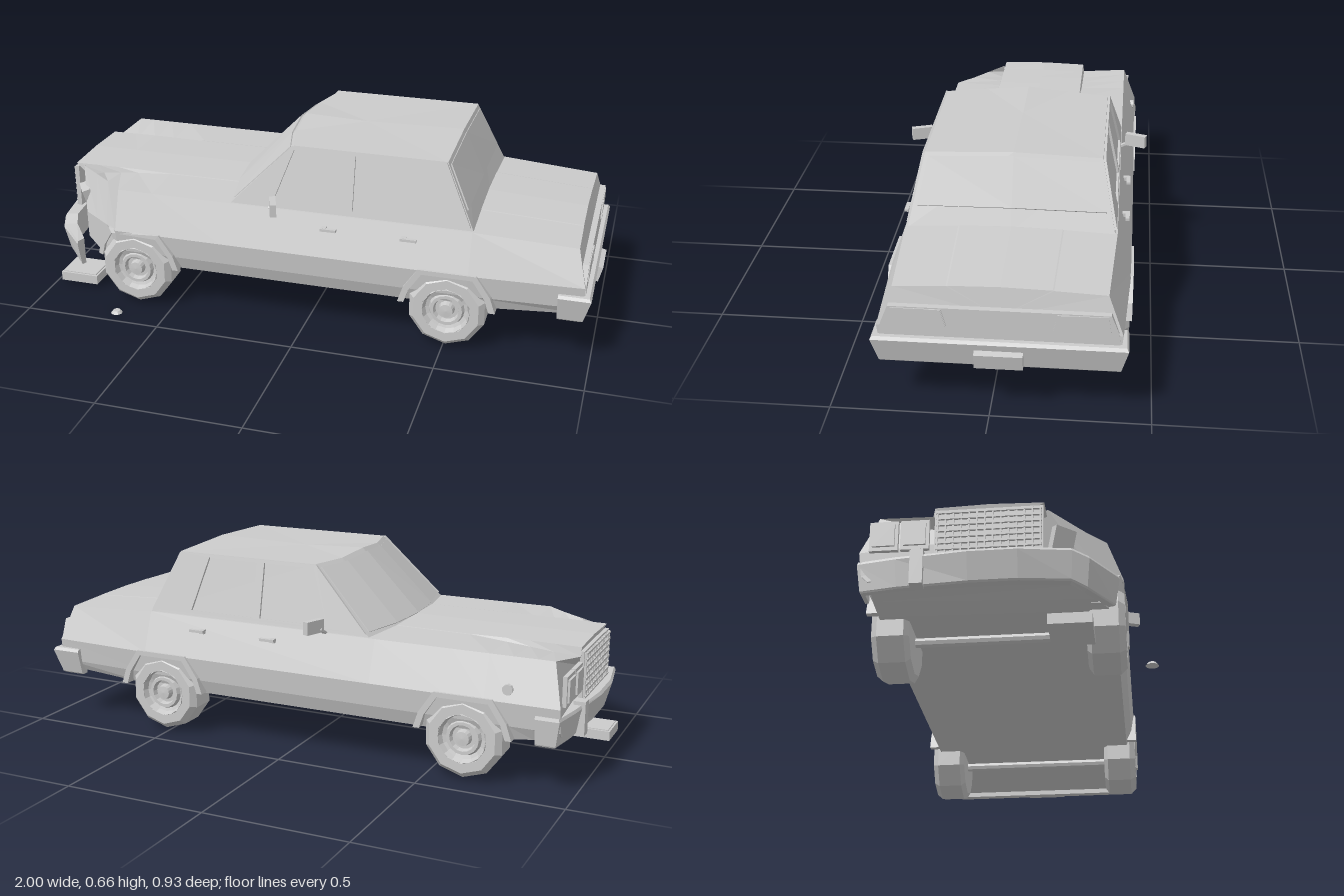
import * as THREE from 'three';

const mat = new THREE.MeshStandardMaterial({ color: 0xcccccc, flatShading: true });
const lerp = THREE.MathUtils.lerp;

// Skin over rings of [x, y, z] points, capped at both ends
function loft(rings) {
  const pos = [];
  const tri = (a, b, c) => pos.push(...a, ...b, ...c);
  const n = rings[0].length;
  for (let i = 0; i < rings.length - 1; i++) {
    for (let j = 0; j < n; j++) {
      const k = (j + 1) % n;
      const a = rings[i][j], b = rings[i][k], c = rings[i + 1][j], d = rings[i + 1][k];
      tri(a, b, d);
      tri(a, d, c);
    }
  }
  const cap = (ring, flip) => {
    const c = [0, 1, 2].map((q) => ring.reduce((s, p) => s + p[q], 0) / n);
    ring.forEach((p, j) => {
      const r = ring[(j + 1) % n];
      flip ? tri(c, r, p) : tri(c, p, r);
    });
  };
  cap(rings[0], true);
  cap(rings[rings.length - 1], false);
  const g = new THREE.BufferGeometry();
  g.setAttribute('position', new THREE.Float32BufferAttribute(pos, 3));
  g.computeVertexNormals();
  return g;
}

function add(parent, name, geo, x = 0, y = 0, z = 0) {
  const m = new THREE.Mesh(geo, mat);
  m.name = name;
  m.position.set(x, y, z);
  parent.add(m);
  return m;
}
const box = (w, h, d) => new THREE.BoxGeometry(w, h, d);
const poly = (pts, C = THREE.Shape) => new C(pts.map((p) => new THREE.Vector2(...p)));
const slab = (shape, depth) => new THREE.ExtrudeGeometry(shape, { depth, bevelEnabled: false });

// Lower body: sections along the car, front corner on +z crushed inward
function bodyGeometry() {
  // x, sill y, shoulder y, hood edge foot y, hood edge y, centre y, width
  const stations = [
    [-0.95, 0.19, 0.43, 0.405, 0.435, 0.44, 1], [-0.86, 0.17, 0.43, 0.41, 0.436, 0.44, 1],
    [-0.78, 0.16, 0.43, 0.418, 0.437, 0.44, 1], [-0.70, 0.16, 0.43, 0.425, 0.437, 0.44, 1],
    [-0.57, 0.16, 0.43, 0.435, 0.436, 0.44, 1], [-0.30, 0.16, 0.43, 0.436, 0.437, 0.442, 1],
    [0.58, 0.16, 0.43, 0.436, 0.437, 0.44, 1], [0.965, 0.18, 0.41, 0.416, 0.417, 0.42, 0.95],
  ];
  return loft(stations.map(([x, sill, belt, foot, edge, mid, w], i) => {
    const last = i === stations.length - 1;
    const half = [[0.365, sill], [0.385, 0.21], [0.395, 0.29], [0.345, belt], [0.172, foot], [0.167, edge]];
    const ring = [...half.map(([z, y]) => [x, y, -z * w]), [x, mid, 0],
      ...half.slice().reverse().map(([z, y]) => [x, y, z * w])];
    return ring.map(([px, y, z]) => {
      if (last) px -= Math.max(0, y - 0.34) * 0.45;
      const t = Math.min(1, Math.max(0, (-0.7 - px) / 0.25));
      if (i === 0 && z < -0.3 && y > 0.4) px += 0.035;
      if (z > 0.17 && t > 0) {
        const high = y > 0.35;
        z = Math.min(z, high ? lerp(0.335, 0.175, t) : lerp(0.39, 0.27, t));
        px += (high ? 0.035 : 0.08) * t;
      }
      return [px, y, z];
    });
  }));
}

// Cabin: plan outline at the belt lofted to the roof
const beltLine = [[-0.33, 0], [-0.316, 0.17], [-0.28, 0.338], [0.585, 0.338], [0.585, 0]];
const roofLine = [[-0.1, 0], [-0.09, 0.15], [-0.055, 0.29], [0.48, 0.29], [0.48, 0]];
function cabinGeometry() {
  const level = (half, y, crown) => [
    ...half.map(([x, z]) => [x, z === 0 ? crown : y, z]),
    ...half.slice(1, -1).reverse().map(([x, z]) => [x, y, -z])];
  return loft([level(beltLine, 0.425, 0.425), level(roofLine, 0.65, 0.66)]);
}

// Thin pane lying on the cabin, between heights t0 and t1 (0 belt, 1 roof); columns run from the centre outward
function pane(columns, t0, t1, dx) {
  const point = (c, t, side, out) => [
    lerp(beltLine[c][0], roofLine[c][0], t) + dx * out,
    lerp(0.425, beltLine[c][1] === 0 ? 0.66 : 0.65, t) + 0.004 * out,
    side * 0.95 * lerp(beltLine[c][1], roofLine[c][1], t)];
  const ring = (c, s) => [point(c, t1, s, 1), point(c, t0, s, 1), point(c, t0, s, -1), point(c, t1, s, -1)];
  const rings = [...columns.slice(1).reverse().map((c) => ring(c, -1)), ...columns.map((c) => ring(c, 1))];
  return loft(dx < 0 ? rings : rings.reverse());
}

// Bumper: stations of outer x, z, inner x, z and vertical shift
function bumper(stations) {
  const profile = [[0.12, 0.26], [0, 0.25], [0.4, 0.165], [0.5, 0.16], [1, 0.16], [1, 0.26]];
  return loft(stations.map(([ox, oz, ix, iz, dy = 0]) =>
    profile.map(([t, y]) => [lerp(ox, ix, t), y + dy, lerp(oz, iz, t)])));
}

function wheel() {
  const g = new THREE.Group();
  const lathe = (pts, n) => new THREE.LatheGeometry(pts.map((p) => new THREE.Vector2(...p)), n).rotateX(Math.PI / 2);
  add(g, 'tyre', lathe([[0, -0.06], [0.115, -0.06], [0.137, -0.045], [0.137, 0.04], [0.118, 0.06], [0.085, 0.06], [0.08, 0.03]], 10));
  add(g, 'rim', lathe([[0.088, 0.05], [0.082, 0.061], [0.074, 0.042], [0.062, 0.038], [0.056, 0.053], [0.045, 0.053],
    [0.04, 0.036], [0.028, 0.036], [0.024, 0.057], [0, 0.059]], 16));
  return g;
}

export function createModel() {
  const model = new THREE.Group();
  model.name = 'sedan';
  const car = new THREE.Group();
  car.name = 'car';
  car.position.z = -0.029;
  model.add(car);

  add(car, 'body', bodyGeometry());
  add(car, 'cabin', cabinGeometry());
  add(car, 'windscreen', pane([0, 1, 2], 0.07, 0.94, -0.004));
  add(car, 'rearWindow', pane([4, 3], 0.29, 0.94, 0.004));

  // Window frames, lying on the sloped cabin sides
  const tilt = Math.atan(0.048 / 0.225);
  const up = (pts) => pts.map(([x, y]) => [x, (y - 0.44) / Math.cos(tilt)]);
  const frame = poly(up([[-0.265, 0.44], [-0.062, 0.647], [0.478, 0.647], [0.574, 0.44]]));
  frame.holes.push(
    poly(up([[-0.12, 0.45], [0.137, 0.45], [0.137, 0.637], [-0.052, 0.637]]), THREE.Path),
    poly(up([[0.165, 0.45], [0.412, 0.45], [0.357, 0.637], [0.165, 0.637]]), THREE.Path));

  // Wheel arch lip
  const arch = [[-0.168, 0.165], [-0.15, 0.22], [-0.1, 0.295], [0.1, 0.295], [0.15, 0.22], [0.168, 0.165]];
  const lip = poly([...arch, ...arch.slice().reverse().map(([x, y]) => [x * 0.87, 0.165 + (y - 0.165) * 0.87])]);

  for (const s of [1, -1]) {
    const side = s > 0 ? 'left' : 'right';
    const fg = slab(frame, 0.012).translate(0, 0, s > 0 ? -0.004 : -0.008).rotateX(-s * tilt);
    add(car, side + 'WindowFrame', fg, 0, 0.44, s * 0.335);

    for (const [end, x] of [['front', -0.63], ['rear', 0.51]]) {
      const ag = slab(lip, 0.05);
      if (s > 0 && end === 'front') {
        // this lip follows the crushed corner
        const p = ag.attributes.position;
        for (let i = 0; i < p.count; i++) p.setZ(i, p.getZ(i) - Math.max(0, -0.07 - p.getX(i)) * 0.6);
      }
      add(car, end + 'WheelArch', ag, x, 0, s > 0 ? 0.352 : -0.402);
      const w = wheel();
      w.name = end + 'Wheel';
      w.position.set(x, 0.146, s * 0.335);
      if (s < 0) w.rotation.y = Math.PI;
      car.add(w);
    }
    for (const x of [0.09, 0.37]) {
      add(car, 'doorHandle', box(0.055, 0.009, 0.014), x, 0.388, s * 0.376);
      add(car, 'handleMount', box(0.018, 0.014, 0.03), x - 0.018, 0.386, s * 0.36);
    }
    // Door mirror
    const mirror = add(car, 'mirror', box(0.022, 0.045, 0.076), -0.1, 0.462, s * 0.398);
    mirror.rotation.y = s * 0.35;
    const arm = add(car, 'mirrorArm', box(0.014, 0.008, 0.07), -0.115, 0.434, s * 0.35);
    arm.rotation.x = -s * 0.5;

    // Tail lamps with slanted inner dividers
    const lamp = poly([[0.16, 0.3], [0.338, 0.3], [0.33, 0.356], [0.175, 0.356]].map(([z, y]) => [-s * z, y]));
    add(car, 'tailLamp', slab(lamp, 0.008).rotateY(Math.PI / 2), 0.963);
    const rib = poly([[0.163, 0.3], [0.195, 0.3], [0.21, 0.356], [0.178, 0.356]].map(([z, y]) => [-s * z, y]));
    add(car, 'tailLampDivider', slab(rib, 0.006).rotateY(Math.PI / 2), 0.967);
  }
  for (const x of [-0.63, 0.51]) {
    add(car, 'axle', new THREE.CylinderGeometry(0.016, 0.016, 0.56, 8).rotateX(Math.PI / 2), x, 0.138, 0);
  }
  const tail = poly([[-0.368, 0.25], [0.368, 0.25], [0.362, 0.3], [0.338, 0.36], [-0.338, 0.36], [-0.362, 0.3]]);
  add(car, 'tailPanel', slab(tail, 0.02).rotateY(Math.PI / 2), 0.948);

  // Bumpers, the front one bent back and down at its left end
  add(car, 'frontBumper', bumper([
    [-0.87, -0.4, -0.87, -0.375], [-0.95, -0.4, -0.92, -0.375], [-0.972, -0.28, -0.935, -0.27],
    [-0.998, -0.06, -0.94, -0.06], [-0.998, 0.09, -0.94, 0.09], [-0.972, 0.25, -0.925, 0.24],
    [-0.955, 0.3, -0.91, 0.28, -0.02], [-0.86, 0.385, -0.85, 0.35, -0.04]]));
  add(car, 'bumperGuard', box(0.04, 0.115, 0.04), -0.968, 0.215, -0.212);
  add(car, 'rearBumper', bumper([
    [0.88, 0.393, 0.88, 0.34], [0.99, 0.393, 0.93, 0.34], [0.99, -0.393, 0.93, -0.34], [0.88, -0.393, 0.88, -0.34]]));
  add(car, 'rearPlate', box(0.03, 0.056, 0.15), 0.983, 0.198, 0).rotation.z = -0.25;

  // Grille
  add(car, 'grilleFrame', box(0.014, 0.17, 0.33), -0.952, 0.335, 0);
  for (let i = 0; i < 8; i++) add(car, 'grilleBar', box(0.012, 0.007, 0.32), -0.961, 0.262 + i * 0.021, 0);
  for (let i = 0; i < 14; i++) add(car, 'grilleSlat', box(0.009, 0.16, 0.005), -0.961, 0.335, -0.156 + i * 0.024);

  // Surviving headlamps, side marker and the loose lamp on the crushed side
  for (const z of [-0.225, -0.32]) {
    add(car, 'headlampBezel', box(0.014, 0.1, 0.088), -0.952, 0.34, z);
    add(car, 'headlamp', box(0.012, 0.075, 0.068), -0.96, 0.34, z);
  }
  add(car, 'sideMarker', new THREE.CylinderGeometry(0.018, 0.018, 0.024, 10).rotateX(Math.PI / 2), -0.775, 0.33, -0.377);
  add(car, 'brokenLamp', box(0.03, 0.08, 0.07), -0.89, 0.33, 0.215).rotation.set(0.1, 0.6, 0.2);

  // Debris on the ground
  const fallen = add(model, 'fallenLamp', box(0.145, 0.034, 0.13), -0.908, 0.023, 0.212);
  add(fallen, 'fallenLampLens', box(0.13, 0.006, 0.115), 0, 0.017, 0);
  add(model, 'fallenCap', new THREE.CylinderGeometry(0.013, 0.021, 0.01, 10), -0.68, 0.005, 0.442);
  return model;
}
